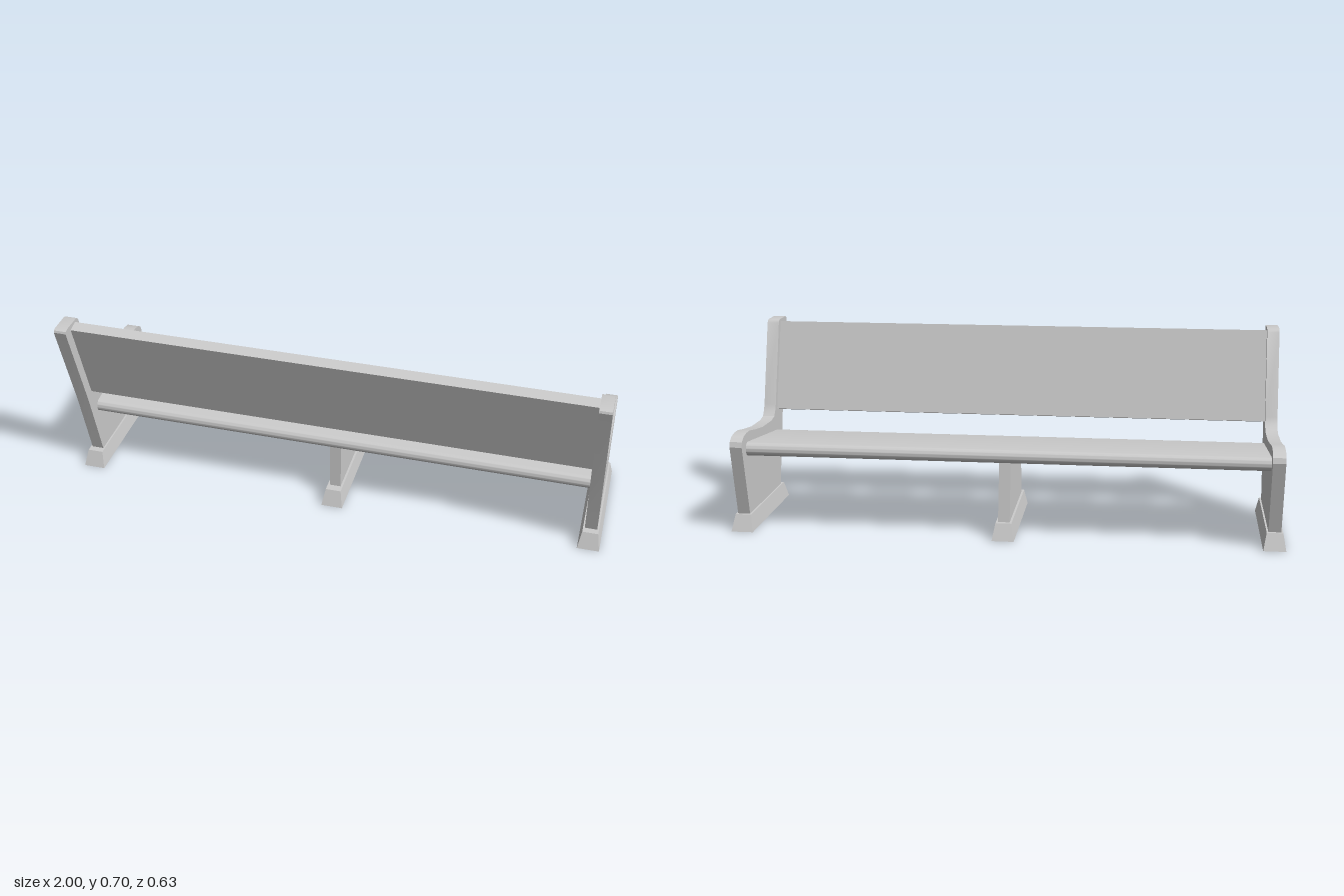
import * as THREE from 'three';
import { toCreasedNormals } from 'three/addons/utils/BufferGeometryUtils.js';

const material = new THREE.MeshStandardMaterial({ color: 0xcccccc });

function addMesh(parent, name, geometry) {
  const mesh = new THREE.Mesh(geometry, material);
  mesh.name = name;
  parent.add(mesh);
  return mesh;
}

// Extrudes a side profile drawn in (z, y) along x, centred on x = 0
function extrudeProfile(shape, width) {
  const geometry = new THREE.ExtrudeGeometry(shape, { depth: width, bevelEnabled: false, curveSegments: 10 });
  geometry.translate(0, 0, -width / 2);
  geometry.rotateY(-Math.PI / 2);
  return toCreasedNormals(geometry, 0.5);
}

const polygon = (points) => new THREE.Shape(points.map(([z, y]) => new THREE.Vector2(z, y)));

// Plank profile with fully rounded ends between two centre points
function plankProfile(z0, y0, z1, y1, r) {
  const angle = Math.atan2(y1 - y0, z1 - z0);
  const shape = new THREE.Shape();
  shape.absarc(z1, y1, r, angle - Math.PI / 2, angle + Math.PI / 2, false);
  shape.absarc(z0, y0, r, angle + Math.PI / 2, angle + Math.PI * 1.5, false);
  shape.closePath();
  return shape;
}

// Foot block tapering towards its top
function footGeometry() {
  const geometry = new THREE.BoxGeometry(0.08, 0.06, 0.483);
  const p = geometry.attributes.position;
  for (let i = 0; i < p.count; i++) {
    if (p.getY(i) > 0) p.setXYZ(i, p.getX(i) * 0.72, p.getY(i), p.getZ(i) * 0.9);
  }
  geometry.translate(0, 0.03, -0.048);
  geometry.computeVertexNormals();
  return geometry;
}

export function createModel() {
  const bench = new THREE.Group();
  bench.name = 'bench';

  // End panels: backrest post, dipped arm and tapered base in one outline
  const endPanel = extrudeProfile(polygon([
    [-0.255, 0.06], [0.145, 0.06], [0.213, 0.335], [0.318, 0.692], [0.315, 0.7], [0.302, 0.704],
    [0.23, 0.704], [0.217, 0.7], [0.21, 0.692], [0.124, 0.387], [0.113, 0.364], [0.098, 0.345],
    [0.06, 0.337], [-0.055, 0.34], [-0.15, 0.353], [-0.215, 0.365], [-0.255, 0.365],
    [-0.288, 0.359], [-0.31, 0.344], [-0.316, 0.325],
  ]), 0.045);
  for (const side of [-1, 1]) {
    const name = side > 0 ? 'left' : 'right';
    addMesh(bench, name + 'EndPanel', endPanel).position.x = side * 0.96;
    addMesh(bench, name + 'Foot', footGeometry()).position.x = side * 0.96;
  }

  // Middle support
  addMesh(bench, 'middleLeg', extrudeProfile(polygon([
    [-0.25, 0.06], [0.14, 0.06], [0.13, 0.255], [-0.21, 0.298],
  ]), 0.042));
  addMesh(bench, 'middleFoot', footGeometry());

  // Seat plank, sloping down towards the backrest
  addMesh(bench, 'seat', extrudeProfile(plankProfile(-0.245, 0.305, 0.125, 0.26, 0.025), 1.876));

  // Leaning backrest board
  addMesh(bench, 'backrest', extrudeProfile(polygon([
    [0.14, 0.366], [0.18, 0.355], [0.276, 0.684], [0.236, 0.695],
  ]), 1.876));

  return bench;
}
